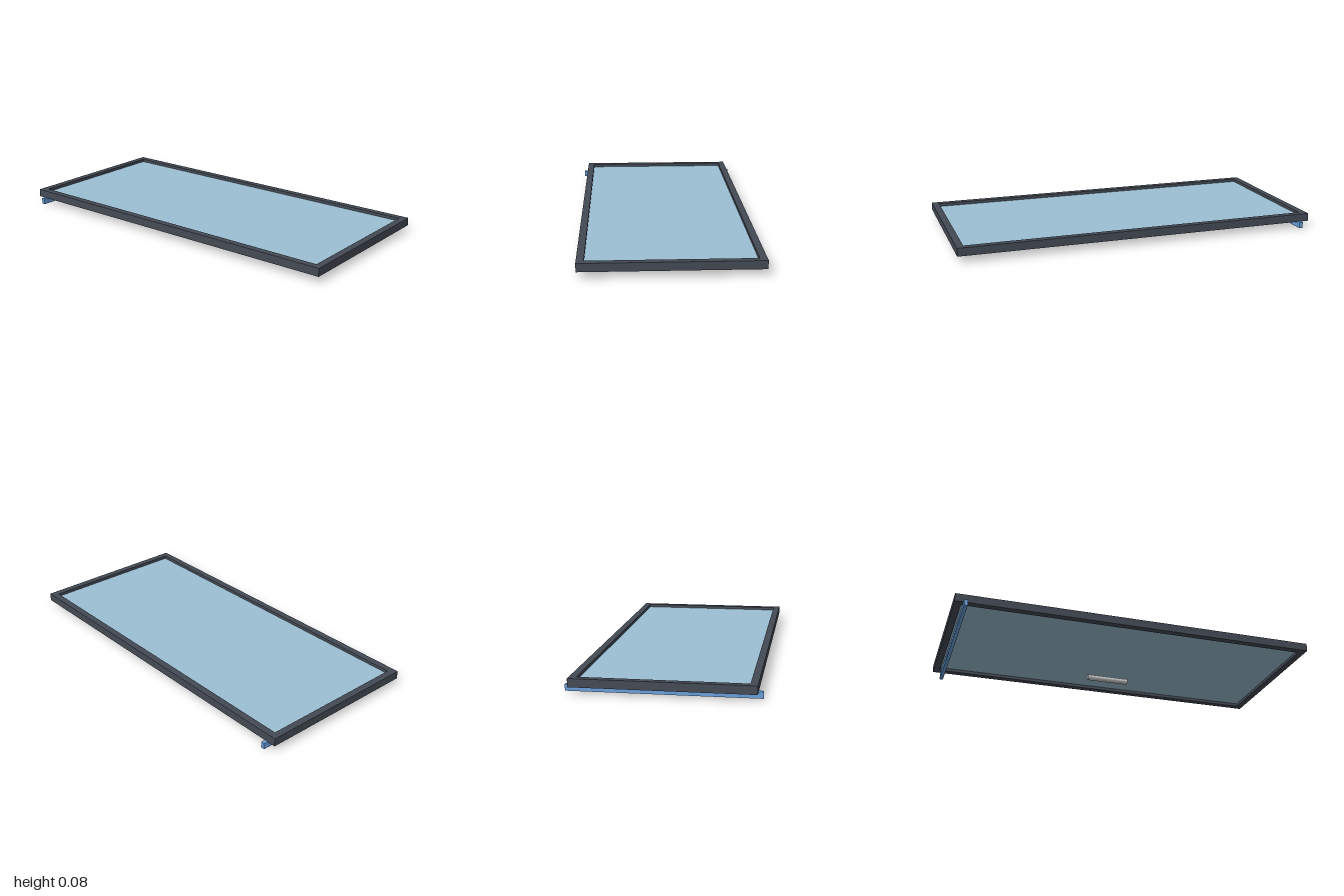
import * as THREE from 'three';

export function createModel() {
  const model = new THREE.Group();
  const add = (name, geometry, color, x, y, z) => {
    const mesh = new THREE.Mesh(geometry, new THREE.MeshStandardMaterial({ color }));
    mesh.name = name;
    mesh.position.set(x, y, z);
    model.add(mesh);
    return mesh;
  };

  const halfW = 0.462, halfL = 1, border = 0.038;
  const bottom = 0.036, height = 0.044;

  // Rectangular frame with an open middle, lying flat
  const rect = (path, w, l) =>
    path.moveTo(-w, -l).lineTo(w, -l).lineTo(w, l).lineTo(-w, l).closePath();
  const outline = rect(new THREE.Shape(), halfW, halfL);
  outline.holes.push(rect(new THREE.Path(), halfW - border, halfL - border));
  const frame = new THREE.ExtrudeGeometry(outline, { depth: height, bevelEnabled: false });
  frame.rotateX(-Math.PI / 2);
  add('frame', frame, 0x444a55, 0, bottom, 0);

  // Pane recessed on both faces of the frame
  const pane = new THREE.BoxGeometry(2 * (halfW - border), 0.01, 2 * (halfL - border));
  add('glassPane', pane, 0x9cc0d4, 0, bottom + height / 2, 0);

  // Cross rail under the back end, overhanging both sides
  add('rail', new THREE.BoxGeometry(0.974, 0.034, 0.02), 0x6a9fdc, 0, 0.022, -0.944);

  // Bar handle running lengthwise under the pane
  const bar = new THREE.CylinderGeometry(0.0165, 0.0165, 0.245, 16);
  bar.rotateX(Math.PI / 2);
  add('handle', bar, 0xcccccc, 0.22, 0.0165, 0.017);

  return model;
}
